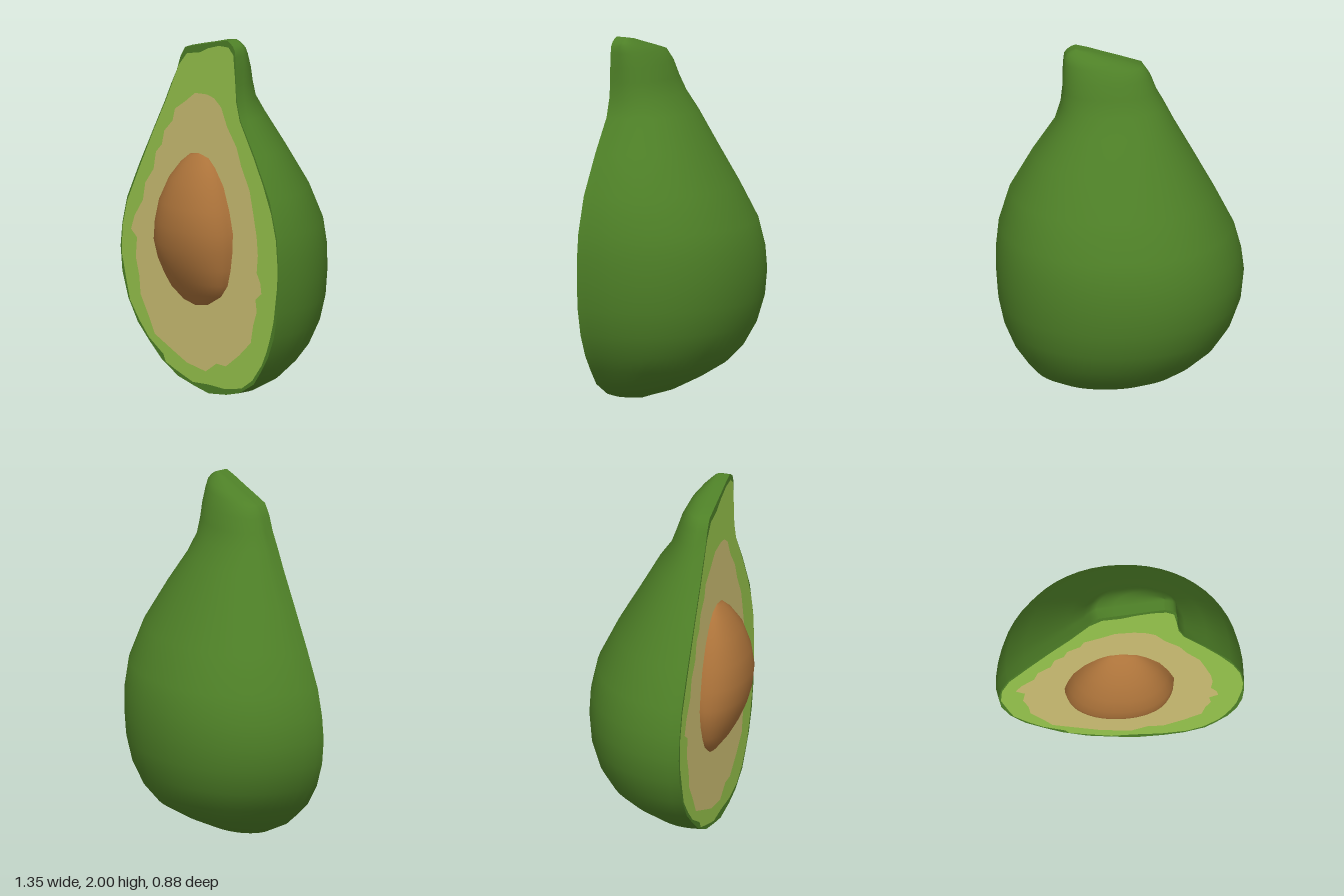
import * as THREE from 'three';

const FRONT = 0.245; // plane of the cut
const BASE = 0.19;   // where the skin starts to curve backwards

// Body sections: left x, left y, right x, right y, z of the back
const BODY = [
  [0.08, 0, 0.08, 0, 0.18], [-0.05, 0.02, 0.23, 0.02, 0.12], [-0.19, 0.05, 0.34, 0.05, 0.02],
  [-0.33, 0.12, 0.46, 0.12, -0.12], [-0.43, 0.2, 0.52, 0.2, -0.25], [-0.53, 0.29, 0.58, 0.29, -0.33],
  [-0.61, 0.41, 0.63, 0.41, -0.39], [-0.66, 0.55, 0.66, 0.55, -0.425], [-0.675, 0.69, 0.67, 0.69, -0.435],
  [-0.66, 0.82, 0.67, 0.82, -0.43], [-0.62, 0.97, 0.655, 0.97, -0.4], [-0.52, 1.17, 0.595, 1.17, -0.305],
  [-0.4, 1.39, 0.47, 1.39, -0.18], [-0.3, 1.57, 0.35, 1.57, -0.08], [-0.25, 1.67, 0.32, 1.67, -0.01],
  [-0.2, 1.76, 0.31, 1.76, 0.02], [-0.17, 1.84, 0.31, 1.84, 0.045], [-0.13, 1.9, 0.305, 1.92, 0.08],
  [-0.03, 1.93, 0.3, 1.955, 0.11], [0.06, 1.955, 0.285, 1.975, 0.135], [0.16, 1.985, 0.265, 1.99, 0.16],
  [0.24, 2, 0.24, 2, 0.18],
];

// Stone sections: y, left x, right x, z of the front
const STONE = [
  [0.475, -0.03, -0.03, 0.25], [0.495, -0.13, 0.08, 0.27], [0.56, -0.215, 0.19, 0.32],
  [0.63, -0.255, 0.245, 0.36], [0.72, -0.29, 0.27, 0.4], [0.82, -0.305, 0.285, 0.43],
  [0.93, -0.287, 0.29, 0.44], [1.05, -0.257, 0.26, 0.425], [1.18, -0.195, 0.21, 0.38],
  [1.27, -0.125, 0.14, 0.32], [1.315, -0.07, 0.085, 0.275], [1.33, 0, 0, 0.25],
];

// Outline of the green flesh, x and y
const FLESH = [
  -0.17, 1.79, -0.1, 1.87, 0, 1.89, 0.08, 1.93, 0.17, 1.96, 0.25, 1.965, 0.29, 1.93, 0.305, 1.8,
  0.315, 1.67, 0.345, 1.57, 0.46, 1.39, 0.54, 1.25, 0.61, 1.1, 0.65, 0.96, 0.665, 0.8, 0.66, 0.7,
  0.645, 0.6, 0.63, 0.5, 0.6, 0.4, 0.57, 0.32, 0.53, 0.24, 0.45, 0.14, 0.36, 0.08, 0.27, 0.06,
  0.22, 0.05, 0.08, 0.05, -0.05, 0.04, -0.19, 0.08, -0.28, 0.11, -0.3, 0.15, -0.42, 0.22, -0.5, 0.3,
  -0.58, 0.4, -0.61, 0.5, -0.65, 0.65, -0.645, 0.8, -0.605, 0.95, -0.495, 1.17, -0.375, 1.4,
  -0.28, 1.57,
];

// Outline of the pale ripe flesh, x and y
const CORE = [
  0.07, 1.67, -0.03, 1.66, -0.11, 1.6, -0.2, 1.54, -0.22, 1.47, -0.29, 1.4, -0.31, 1.32, -0.36, 1.27,
  -0.38, 1.17, -0.45, 1.08, -0.47, 0.98, -0.54, 0.88, -0.57, 0.8, -0.52, 0.76, -0.53, 0.65, -0.5, 0.55,
  -0.49, 0.45, -0.42, 0.34, -0.37, 0.25, -0.2, 0.18, -0.1, 0.14, 0.06, 0.12, 0.15, 0.18, 0.23, 0.18,
  0.34, 0.26, 0.44, 0.35, 0.46, 0.45, 0.49, 0.53, 0.48, 0.6, 0.53, 0.64, 0.52, 0.7, 0.49, 0.75,
  0.5, 0.85, 0.49, 0.95, 0.46, 1.08, 0.43, 1.2, 0.36, 1.32, 0.32, 1.42, 0.24, 1.52, 0.19, 1.62,
  0.13, 1.66,
];

// Half ring from left to right, bulging from z0 to z1
function halfRing(xl, yl, xr, yr, z0, z1, steps) {
  const ring = [];
  for (let j = 0; j <= steps; j++) {
    const a = (Math.PI * j) / steps;
    const c = -Math.cos(a);
    const t = (Math.sign(c) * Math.abs(c) ** 0.95 + 1) / 2;
    const s = Math.abs(Math.sin(a)) ** 0.95;
    ring.push([xl + (xr - xl) * t, yl + (yr - yl) * t, z0 + (z1 - z0) * s]);
  }
  return ring;
}

// Smooth surface through equal-length rings stacked upwards
function loft(rings, facesFront) {
  const n = rings[0].length;
  const index = [];
  for (let i = 0; i < rings.length - 1; i++) {
    for (let j = 0; j < n - 1; j++) {
      const a = i * n + j, b = a + 1, c = a + n, d = c + 1;
      if (facesFront) index.push(a, b, c, b, d, c);
      else index.push(a, c, b, b, c, d);
    }
  }
  const geometry = new THREE.BufferGeometry();
  geometry.setAttribute('position', new THREE.Float32BufferAttribute(rings.flat(2), 3));
  geometry.setIndex(index);
  geometry.computeVertexNormals();
  return geometry;
}

// Flat face on the cut
function plate(points, z) {
  return new THREE.ShapeGeometry(new THREE.Shape(points)).translate(0, 0, z);
}

function pairs(list) {
  const points = [];
  for (let i = 0; i < list.length; i += 2) points.push(new THREE.Vector2(list[i], list[i + 1]));
  return points;
}

export function createModel() {
  const group = new THREE.Group();
  group.name = 'halvedFruit';

  const material = (name, color) => {
    const m = new THREE.MeshStandardMaterial({ color });
    m.name = name;
    return m;
  };
  const skin = material('darkGreenSkin', 0x4e8027);
  const flesh = material('greenFlesh', 0x97c54c);
  const core = material('paleFlesh', 0xcdbf73);
  const stone = material('brownStone', 0xac733a);

  const add = (name, geometry, mat) => {
    const mesh = new THREE.Mesh(geometry, mat);
    mesh.name = name;
    group.add(mesh);
  };

  // Skin shell, with a short rim up to the cut
  const shell = BODY.map(([xl, yl, xr, yr, zb]) => {
    const inset = Math.min(0.012, xr - xl);
    return [[xl + inset, yl, FRONT], ...halfRing(xl, yl, xr, yr, BASE, zb, 28), [xr, yr, FRONT]];
  });
  add('skin', loft(shell, false), skin);

  // Cut face: skin edge, green flesh, pale flesh
  const rim = [
    ...shell.map((r) => r[0]),
    ...shell.slice(1, -1).map((r) => r[r.length - 1]).reverse(),
  ].map(([x, y]) => new THREE.Vector2(x, y));
  add('skinEdge', plate(rim, FRONT), skin);
  add('flesh', plate(pairs(FLESH), FRONT + 0.002), flesh);
  add('ripeFlesh', plate(pairs(CORE), FRONT + 0.004), core);

  // Stone standing out of the cut
  const stoneRings = STONE.map(([y, xl, xr, zf]) => halfRing(xl, y, xr, y, FRONT, zf, 20));
  add('stone', loft(stoneRings, true), stone);

  return group;
}
